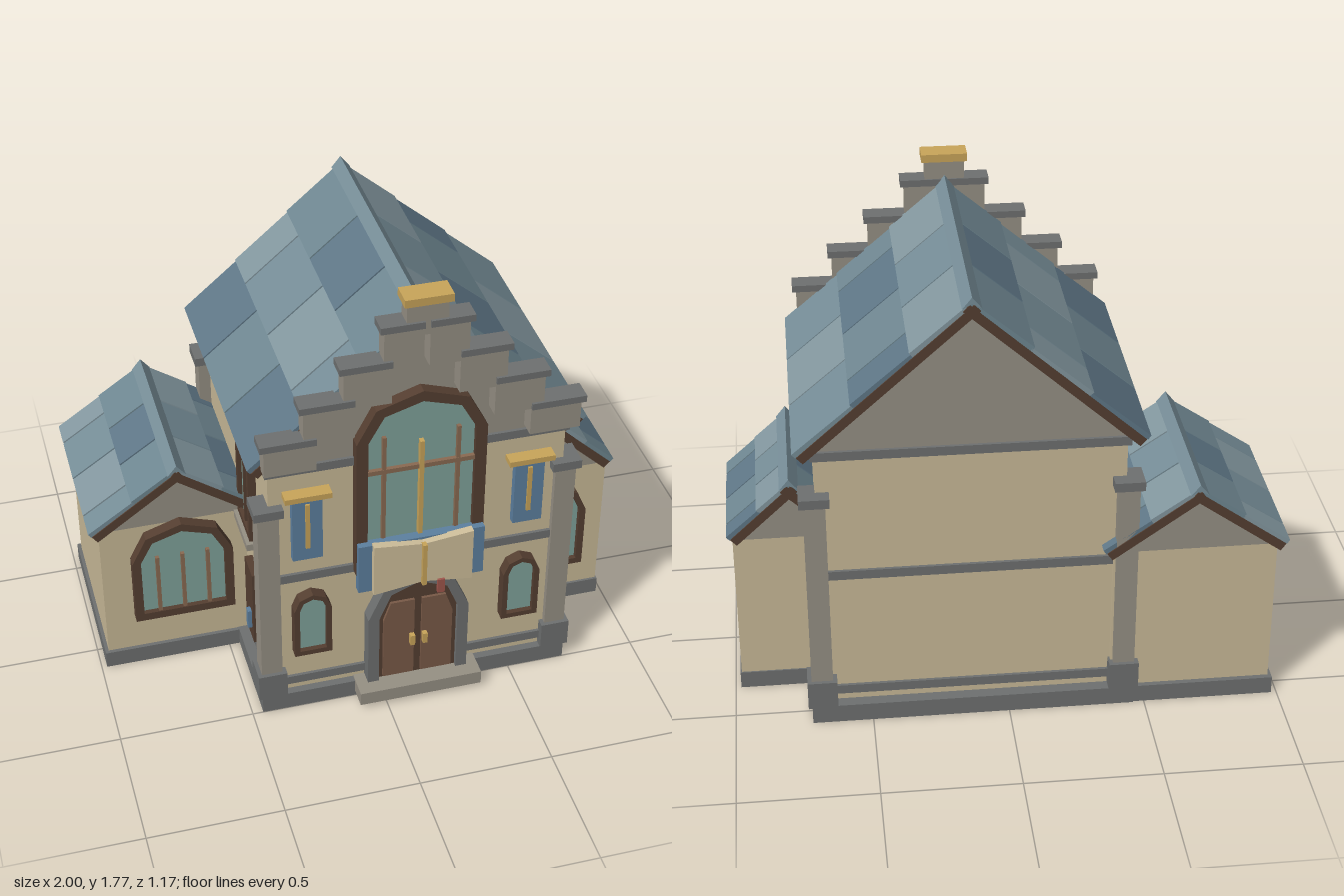
import * as THREE from 'three';

const mat = (c) => new THREE.MeshStandardMaterial({ color: c, flatShading: true });
const M = {
  wall: mat(0xc9ba98), stone: mat(0x969084), trim: mat(0x6e7070), wood: mat(0x553f31),
  door: mat(0x795a47), bar: mat(0x8a6a52), glass: mat(0x80a39b), gold: mat(0xc9a55a),
  blue: mat(0x5d80a0), page: mat(0xd0c09c), red: mat(0xa0564c), ridge: mat(0x788f99),
};
const SLATES = [0x6f8791, 0x83979f, 0x5f7787, 0x768d97].map(mat);
const CX = 0.13; // centre line of the main hall

function add(parent, name, geo, material) {
  const m = new THREE.Mesh(geo, material);
  m.name = name;
  parent.add(m);
  return m;
}

// box given by its limits
function box(parent, name, material, x0, x1, y0, y1, z0, z1) {
  const m = add(parent, name, new THREE.BoxGeometry(x1 - x0, y1 - y0, z1 - z0), material);
  m.position.set((x0 + x1) / 2, (y0 + y1) / 2, (z0 + z1) / 2);
  return m;
}

// flat outline extruded from z0 to z1
function slab(parent, name, material, shape, z0, z1) {
  const g = new THREE.ExtrudeGeometry(shape, { depth: z1 - z0, bevelEnabled: false });
  g.translate(0, 0, z0);
  return add(parent, name, g, material);
}
const poly = (pts) => new THREE.Shape(pts.map(([x, y]) => new THREE.Vector2(x, y)));

// outline with a four-sided arched head
function archPoints(cx, w, y0, spring, rise) {
  const pts = [[cx - w, y0], [cx + w, y0]];
  for (let i = 0; i <= 4; i++) {
    const a = (i * Math.PI) / 4;
    pts.push([cx + w * Math.cos(a), spring + rise * Math.sin(a)]);
  }
  return pts;
}

function archWindow(parent, name, cx, w, y0, spring, rise, z, t, bars) {
  const g = new THREE.Group();
  g.name = name;
  parent.add(g);
  const frame = poly(archPoints(cx, w, y0, spring, rise));
  const inner = archPoints(cx, w - t, y0 + t, spring, rise - t);
  frame.holes.push(poly(inner));
  slab(g, 'frame', M.wood, frame, z - 0.01, z + 0.045);
  slab(g, 'glass', M.glass, poly(inner), z - 0.01, z + 0.025);
  for (const dx of bars) box(g, 'mullion', M.bar, cx + dx - 0.007, cx + dx + 0.007, y0 + t, spring + 0.01, z + 0.02, z + 0.04);
  return g;
}

// pitched roof: timber boards under staggered slates, with a ridge cap
function roof(parent, name, cx, half, eave, apex, z0, z1, rows) {
  const g = new THREE.Group();
  g.name = name;
  parent.add(g);
  const len = Math.hypot(half, apex - eave), ang = Math.atan2(apex - eave, half);
  const step = (z1 - z0) / 3, rowLen = len / rows;
  for (const s of [-1, 1]) {
    const side = new THREE.Group();
    side.name = 'slope';
    side.position.set(cx, apex, 0);
    side.rotation.z = -s * ang;
    g.add(side);
    const strip = (n, m, u0, u1, y0, y1, a, b) => box(side, n, m, Math.min(s * u0, s * u1), Math.max(s * u0, s * u1), y0, y1, a, b);
    strip('boards', M.wood, 0, len, -0.045, -0.012, z0, z1);
    for (let r = 0; r < rows; r++) {
      const shift = r % 2 ? step / 2 : 0;
      for (let i = 0; i < 4; i++) {
        const b = Math.min(z1, z1 - i * step + shift), a = Math.max(z0, z1 - (i + 1) * step + shift);
        if (b - a < 0.02) continue;
        const tile = strip('slate', SLATES[(i * 2 + r * 3 + (s > 0 ? 1 : 0)) % 4], r * rowLen, (r + 1) * rowLen + 0.004,
          -0.015, 0.004, a + 0.004, b - 0.004);
        tile.rotation.z = s * 0.025;
      }
    }
  }
  const cap = slab(g, 'ridgeCap', M.ridge, poly([[-0.034, -0.022], [0, -0.004], [0.034, -0.022], [0, 0.02]]), z0 - 0.003, z1 + 0.003);
  cap.position.set(cx, apex, 0);
}

// walls with a stone gable prism above
function hall(parent, name, cx, half, top, z0, z1, roofHalf, eave, apex) {
  const g = new THREE.Group();
  g.name = name;
  parent.add(g);
  box(g, 'walls', M.wall, cx - half, cx + half, 0.05, top, z0, z1);
  const k = (apex - eave) / roofHalf, peak = apex - 0.04 * Math.hypot(1, k);
  const side = Math.max(peak - half * k, top + 0.002);
  slab(g, 'gable', M.stone, poly([[cx - half, top], [cx + half, top], [cx + half, side], [cx, peak], [cx - half, side]]), z0, z1);
  return g;
}

function pillar(parent, x, z) {
  const g = new THREE.Group();
  g.name = 'cornerPillar';
  g.position.set(x, 0, z);
  parent.add(g);
  const part = (n, m, r, y0, y1) => box(g, n, m, -r, r, y0, y1, -r, r);
  part('pillarBase', M.trim, 0.054, 0.07, 0.18);
  part('shaft', M.stone, 0.039, 0.18, 0.915);
  part('capital', M.trim, 0.054, 0.915, 0.95);
}

// stepped parapet on the front gable
function parapet(parent) {
  const g = new THREE.Group();
  g.name = 'steppedParapet';
  parent.add(g);
  const steps = [[0.57, 0.385, 1.13, 1.24], [0.43, 0.25, 1.24, 1.375], [0.29, 0.12, 1.36, 1.51], [0.15, 0.01, 1.49, 1.65]];
  for (const [outer, inner, y0, y1] of steps) for (const s of [-1, 1]) {
    const a = CX + s * outer, b = CX + s * inner, e = CX + s * (outer + 0.015);
    box(g, 'stepBlock', M.stone, Math.min(a, b), Math.max(a, b), y0, y1, 0.475, 0.537);
    box(g, 'stepCap', M.trim, Math.min(e, b), Math.max(e, b), y1, y1 + 0.026, 0.468, 0.547);
  }
  box(g, 'topBlock', M.stone, CX - 0.073, CX + 0.073, 1.62, 1.75, 0.475, 0.537);
  box(g, 'goldCap', M.gold, CX - 0.085, CX + 0.085, 1.745, 1.775, 0.466, 0.552);
}

// open book mounted above the door
function bookSign(parent) {
  const g = new THREE.Group();
  g.name = 'openBookSign';
  parent.add(g);
  for (const s of [-1, 1]) {
    box(g, 'cover', M.blue, CX + Math.min(0, s * 0.235), CX + Math.max(0, s * 0.235), 0.54, 0.75, 0.505, 0.54);
    const pts = [[CX, 0.565], [CX + s * 0.185, 0.54], [CX + s * 0.185, 0.76], [CX, 0.74]];
    slab(g, 'pages', M.page, poly(pts), 0.535, 0.566);
  }
  box(g, 'spine', M.gold, CX - 0.008, CX + 0.008, 0.56, 0.745, 0.56, 0.583);
  box(g, 'bookmark', M.red, 0.183, 0.21, 0.505, 0.565, 0.562, 0.575);
}

function entrance(parent) {
  const g = new THREE.Group();
  g.name = 'entrance';
  parent.add(g);
  const surround = poly(archPoints(CX, 0.192, 0.07, 0.38, 0.18));
  const opening = archPoints(CX, 0.15, 0.075, 0.38, 0.15);
  surround.holes.push(poly(opening));
  slab(g, 'doorSurround', M.trim, surround, 0.46, 0.525);
  slab(g, 'doorFrame', M.wood, poly(opening), 0.46, 0.507);
  for (const s of [-1, 1]) {
    const pts = [[0.014, 0.085], [0.132, 0.085], [0.132, 0.36], [0.105, 0.44], [0.014, 0.44]];
    slab(g, 'doorLeaf', M.door, poly(pts.map(([x, y]) => [CX + s * x, y])), 0.5, 0.518);
    box(g, 'handle', M.gold, CX + s * 0.024 - 0.009, CX + s * 0.024 + 0.009, 0.235, 0.28, 0.515, 0.538);
  }
  box(g, 'doorStep', M.stone, CX - 0.235, CX + 0.235, 0.02, 0.075, 0.46, 0.58);
}

// fittings on one long wall; local z points out of the wall
function sideFittings(parent, s) {
  const g = new THREE.Group();
  g.name = 'sideFittings';
  g.position.set(CX + s * 0.545, 0, 0);
  g.rotation.y = (s * Math.PI) / 2;
  parent.add(g);
  const c = -s * 0.188;
  const rect = (w, t) => [[c - w, 0.65 + t], [c + w, 0.65 + t], [c + w, 0.985 - t], [c - w, 0.985 - t]];
  const frame = poly(rect(0.098, 0));
  frame.holes.push(poly(rect(0.074, 0.024)));
  slab(g, 'sideFrame', M.wood, frame, -0.01, 0.03);
  slab(g, 'sideGlass', M.glass, poly(rect(0.074, 0.024)), -0.01, 0.014);
  box(g, 'sideMullion', M.wood, c - 0.007, c + 0.007, 0.67, 0.965, 0.005, 0.025);
  box(g, 'sill', M.stone, c - 0.115, c + 0.115, 0.622, 0.65, -0.01, 0.045);
  const n = -s * 0.245;
  box(g, 'nicheCase', M.wood, n - 0.06, n + 0.06, 0.175, 0.5, -0.01, 0.03);
  box(g, 'nicheBook', M.blue, n - s * 0.022 - 0.014, n - s * 0.022 + 0.014, 0.23, 0.31, 0.02, 0.045);
}

export function createModel() {
  const root = new THREE.Group();
  root.name = 'building';

  // plinths
  box(root, 'mainPlinth', M.trim, CX - 0.59, CX + 0.59, 0, 0.07, -0.575, 0.5);
  box(root, 'rightWingPlinth', M.trim, 0.6, 0.98, 0, 0.066, -0.328, 0.18);
  box(root, 'leftWingPlinth', M.trim, -0.98, -0.4, 0, 0.068, -0.57, 0.105);

  // halls and roofs
  hall(root, 'mainHall', CX, 0.545, 1.1, -0.53, 0.47, 0.61, 1.125, 1.67);
  hall(root, 'leftWing', -0.67, 0.297, 0.645, -0.55, 0.09, 0.33, 0.665, 0.9);
  hall(root, 'rightWing', 0.765, 0.21, 0.645, -0.322, 0.17, 0.225, 0.67, 0.88);
  roof(root, 'mainRoof', CX, 0.61, 1.125, 1.67, -0.575, 0.485, 3);
  roof(root, 'leftWingRoof', -0.67, 0.33, 0.665, 0.9, -0.573, 0.12, 2);
  roof(root, 'rightWingRoof', 0.765, 0.225, 0.67, 0.88, -0.347, 0.195, 2);

  // string courses round the main hall
  for (const [y0, y1] of [[0.1, 0.135], [0.593, 0.628], [1.078, 1.112]])
    box(root, 'stringCourse', M.trim, CX - 0.557, CX + 0.557, y0, y1, -0.542, 0.482);

  for (const s of [-1, 1]) {
    for (const z of [0.453, -0.53]) pillar(root, CX + s * 0.55, z);
    sideFittings(root, s);
    archWindow(root, 'lowerWindow', CX + s * 0.397, 0.07, 0.262, 0.475, 0.07, 0.47, 0.02, []);
    // hanging banner
    const x = CX + s * 0.41;
    box(root, 'banner', M.blue, x - 0.055, x + 0.055, 0.705, 0.99, 0.46, 0.498);
    box(root, 'bannerRail', M.gold, x - 0.085, x + 0.085, 0.983, 1.005, 0.46, 0.522);
    box(root, 'bannerStripe', M.gold, x - 0.008, x + 0.008, 0.76, 0.955, 0.49, 0.506);
  }

  // great window with transom and gold centre bar
  const great = archWindow(root, 'greatWindow', CX, 0.237, 0.6, 1.185, 0.188, 0.47, 0.042, [-0.135, 0.135]);
  box(great, 'transom', M.bar, CX - 0.2, CX + 0.2, 1.04, 1.058, 0.49, 0.511);
  box(great, 'centreBar', M.gold, CX - 0.008, CX + 0.008, 0.64, 1.16, 0.49, 0.517);

  archWindow(root, 'leftWingWindow', -0.667, 0.19, 0.227, 0.505, 0.155, 0.09, 0.032, [-0.095, 0, 0.095]);
  archWindow(root, 'rightWingWindow', 0.765, 0.126, 0.2, 0.465, 0.12, 0.17, 0.025, [0]);

  entrance(root);
  bookSign(root);
  parapet(root);
  return root;
}
